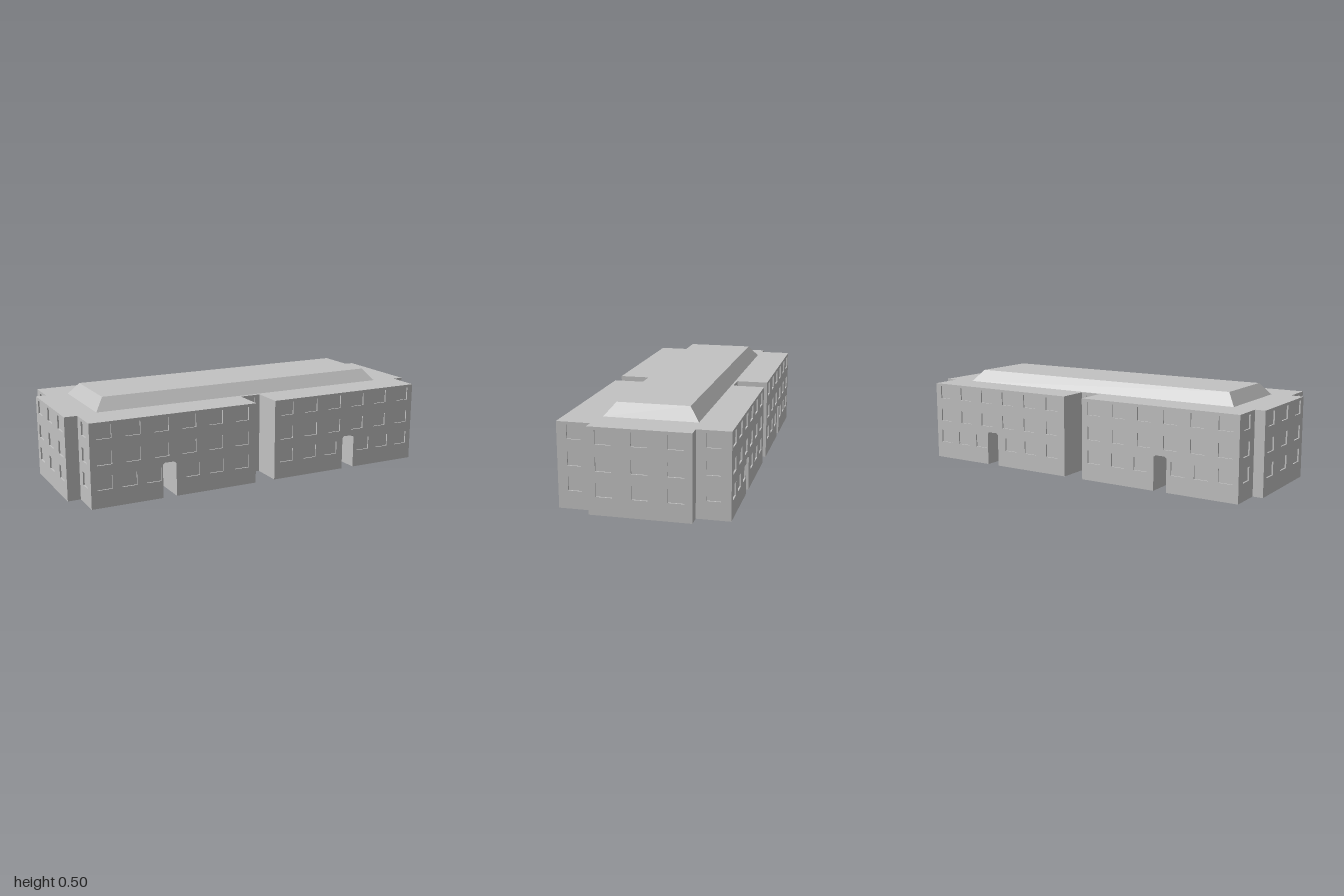
import * as THREE from 'three';

const HEIGHT = 0.435;
const REVEAL = 0.008; // depth of the window recesses
const CORE_U = 1.025, CORE_V = 0.253, WING_V = 0.423;
const ARCH_U = 0.54, ARCH_HALF = 0.037, ARCH_TOP = 0.185;
const FLOORS = [0.127, 0.253, 0.385];
const WIN_H = 0.07;

const stone = new THREE.MeshStandardMaterial({ color: 0xc2c2c2 });
stone.name = 'grey stone';

function mesh(name, geometry) {
  const m = new THREE.Mesh(geometry, stone);
  m.name = name;
  return m;
}

// Upright slab from x0 to x1, with arched passages cut from the ground and window holes
function slab(name, x0, x1, depth, arches = [], windows = []) {
  const s = new THREE.Shape();
  s.moveTo(x0, 0);
  for (const a of arches) {
    const l = a - ARCH_HALF, r = a + ARCH_HALF, c = 0.01;
    s.lineTo(l, 0);
    s.lineTo(l, ARCH_TOP - c);
    s.lineTo(l + c, ARCH_TOP);
    s.lineTo(r - c, ARCH_TOP);
    s.lineTo(r, ARCH_TOP - c);
    s.lineTo(r, 0);
  }
  s.lineTo(x1, 0);
  s.lineTo(x1, HEIGHT);
  s.lineTo(x0, HEIGHT);
  s.closePath();
  for (const { x, y, w } of windows) {
    const h = new THREE.Path();
    h.moveTo(x - w / 2, y - WIN_H / 2);
    h.lineTo(x - w / 2, y + WIN_H / 2);
    h.lineTo(x + w / 2, y + WIN_H / 2);
    h.lineTo(x + w / 2, y - WIN_H / 2);
    h.closePath();
    s.holes.push(h);
  }
  return mesh(name, new THREE.ExtrudeGeometry(s, { depth, bevelEnabled: false }));
}

// The same row of windows on every floor, or another row on the ground floor
function windowGrid(xs, w, groundXs = xs) {
  return FLOORS.flatMap((y, i) => (i === 0 ? groundXs : xs).map((x) => ({ x, y, w })));
}

// One projecting wing: solid body, pierced facade, pierced outer end wall
function wing(side) {
  const g = new THREE.Group();
  g.name = side > 0 ? 'leftWing' : 'rightWing';
  const [u0, u1] = side > 0 ? [0.069, 0.97] : [-0.957, -0.045];
  const arch = [side * ARCH_U];
  const place = (x) => (side > 0 ? x : 0.015 - x);
  const upper = [0, 1, 2, 3, 4, 5].map((i) => place(0.143 + i * 0.151));
  const ground = [0.143, 0.29, 0.425, 0.64, 0.77, 0.9].map(place);

  const body = slab('wingBody', side > 0 ? u0 : u0 + REVEAL, side > 0 ? u1 - REVEAL : u1,
    WING_V - CORE_V - REVEAL, arch);
  body.position.z = CORE_V;

  const facade = slab('wingFacade', u0, u1, REVEAL, arch, windowGrid(upper, 0.078, ground));
  facade.position.z = WING_V - REVEAL;

  const inner = CORE_V, outer = WING_V - REVEAL;
  const end = slab('wingEndWall', side > 0 ? -outer : inner, side > 0 ? -inner : outer,
    REVEAL, [], windowGrid([-side * 0.338], 0.07));
  end.rotation.y = side * Math.PI / 2;
  end.position.x = side > 0 ? u1 - REVEAL : u0 + REVEAL;

  g.add(body, facade, end);
  return g;
}

// Half of the building's outer walls; the other half is the same turned around
function halfBuilding(name) {
  const g = new THREE.Group();
  g.name = name;
  const sideWall = slab('courtWall', -CORE_U + REVEAL, CORE_U - REVEAL, REVEAL,
    [-ARCH_U, ARCH_U], windowGrid([0.012], 0.06));
  sideWall.position.z = CORE_V - REVEAL;
  const endWall = slab('coreEndWall', -CORE_V, CORE_V, REVEAL, [],
    windowGrid([-0.175, 0, 0.175], 0.08));
  endWall.rotation.y = Math.PI / 2;
  endWall.position.x = CORE_U - REVEAL;
  g.add(wing(1), wing(-1), sideWall, endWall);
  return g;
}

// Low hipped roof: a box whose top is drawn inwards
function hipRoof() {
  const h = 0.064;
  const geo = new THREE.BoxGeometry(1.692, h, 0.474);
  const p = geo.attributes.position;
  for (let i = 0; i < p.count; i++) {
    if (p.getY(i) > 0) p.setXYZ(i, Math.sign(p.getX(i)) * 0.795, h / 2, Math.sign(p.getZ(i)) * 0.184);
  }
  geo.computeVertexNormals();
  const roof = mesh('hipRoof', geo);
  roof.position.set(-0.006, HEIGHT + h / 2, -0.004);
  return roof;
}

export function createModel() {
  const model = new THREE.Group();
  model.name = 'building';

  // Central block with the two passages running through it
  const core = slab('coreBlock', -CORE_U + REVEAL, CORE_U - REVEAL, 2 * (CORE_V - REVEAL), [-ARCH_U, ARCH_U]);
  core.position.z = -CORE_V + REVEAL;

  const front = halfBuilding('frontHalf');
  const back = halfBuilding('backHalf');
  back.rotation.y = Math.PI;

  // The building stands diagonally on its plot
  const turned = new THREE.Group();
  turned.name = 'turnedBuilding';
  turned.rotation.y = THREE.MathUtils.degToRad(42.6);
  turned.add(core, front, back, hipRoof());
  model.add(turned);
  return model;
}
